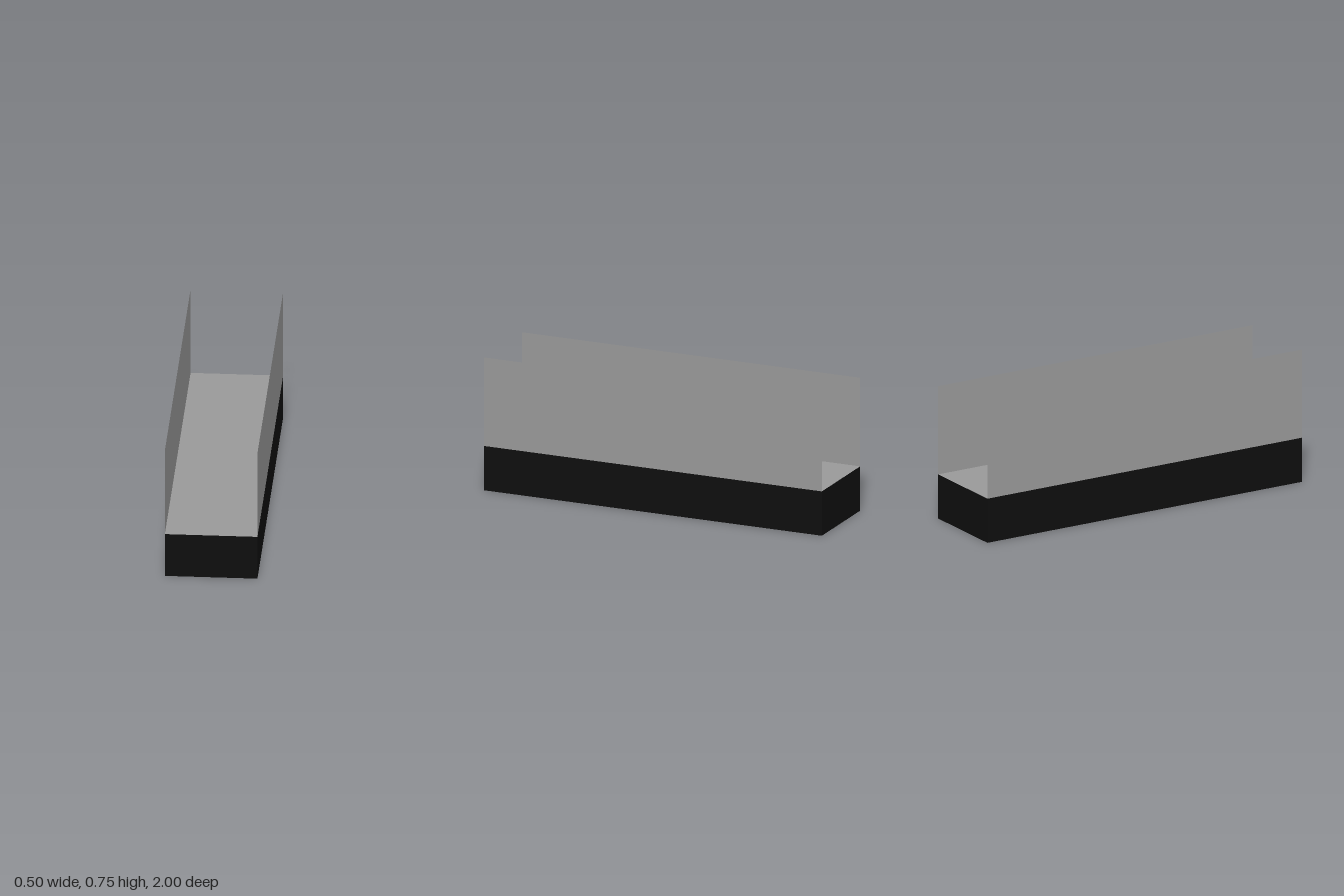
import * as THREE from 'three';

export function createModel() {
  const W = 0.5, L = 2, BASE_H = 0.25, WALL_H = 0.5;

  const black = new THREE.MeshStandardMaterial({ color: 0x0e0e0e });
  black.name = 'black';
  const grey = new THREE.MeshStandardMaterial({ color: 0x999999, side: THREE.DoubleSide });
  grey.name = 'grey';

  const model = new THREE.Group();
  model.name = 'channel';

  // Solid black base with a grey floor on its upper face
  const base = new THREE.Mesh(
    new THREE.BoxGeometry(W, BASE_H, L),
    [black, black, grey, black, black, black]
  );
  base.name = 'base';
  base.position.y = BASE_H / 2;
  model.add(base);

  // Paper-thin side walls standing on the long edges
  for (const side of [-1, 1]) {
    const wall = new THREE.Mesh(new THREE.PlaneGeometry(L, WALL_H), grey);
    wall.name = side > 0 ? 'leftWall' : 'rightWall';
    wall.rotation.y = side * Math.PI / 2;
    wall.position.set(side * W / 2, BASE_H + WALL_H / 2, 0);
    model.add(wall);
  }

  return model;
}
